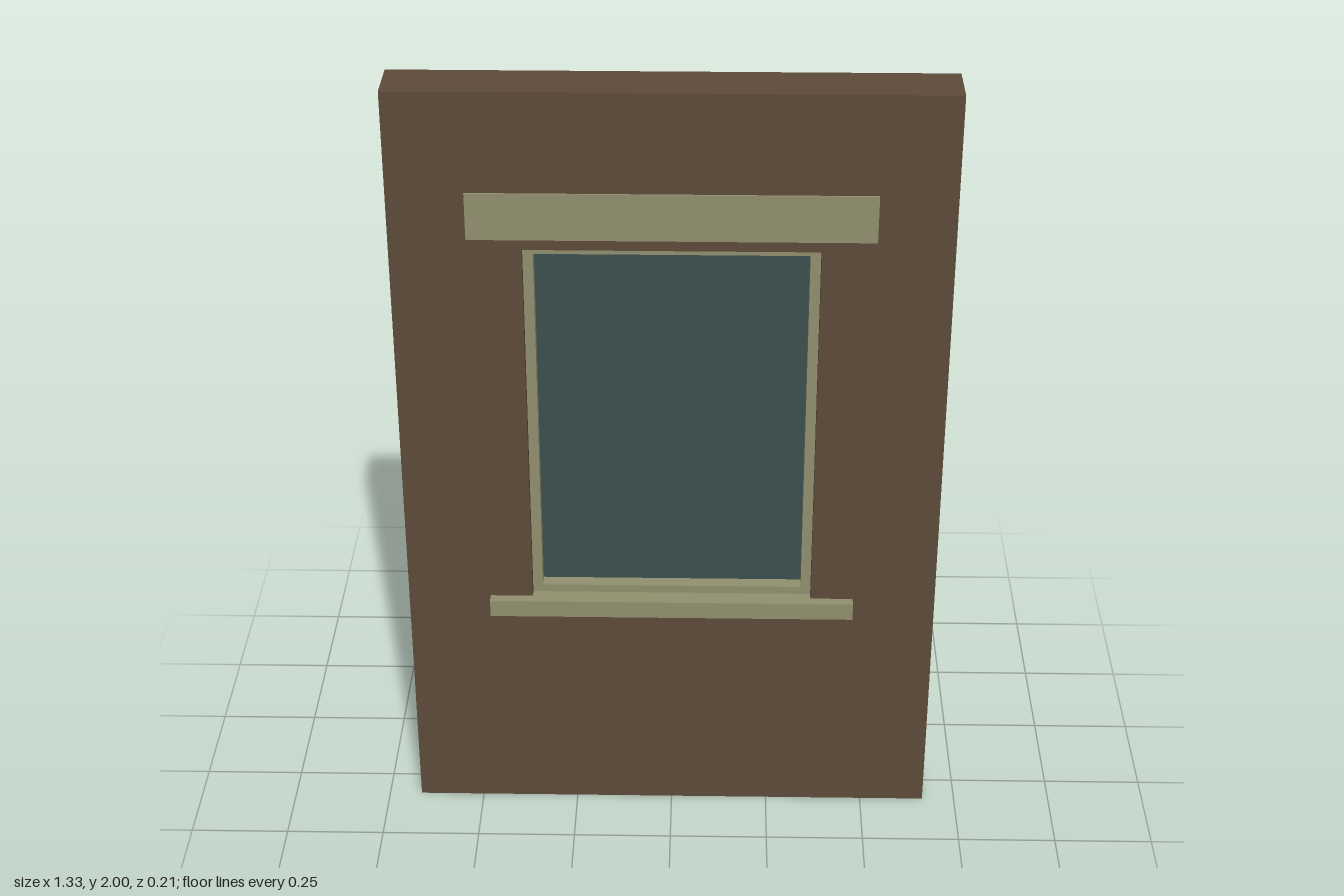
import * as THREE from 'three';

const material = (name, color) => {
  const m = new THREE.MeshStandardMaterial({ color });
  m.name = name;
  return m;
};

export function createModel() {
  const group = new THREE.Group();
  const wallBrown = material('wall brown', 0x5e4b3a);
  const trimOlive = material('trim olive', 0x91906e);
  const glassTeal = material('glass teal', 0x3c5051);

  const add = (name, geometry, mat) => {
    const mesh = new THREE.Mesh(geometry, mat);
    mesh.name = name;
    group.add(mesh);
  };

  // Box given by its lower and upper limits
  const box = (name, mat, [x0, x1], [y0, y1], [z0, z1]) => {
    const g = new THREE.BoxGeometry(x1 - x0, y1 - y0, z1 - z0);
    g.translate((x0 + x1) / 2, (y0 + y1) / 2, (z0 + z1) / 2);
    add(name, g, mat);
  };

  // Rectangular ring: half widths and height limits, extruded from z0 to z1
  const rect = (path, w, y0, y1) =>
    path.moveTo(-w, y0).lineTo(w, y0).lineTo(w, y1).lineTo(-w, y1).closePath();
  const ring = (name, mat, outer, inner, [z0, z1]) => {
    const shape = rect(new THREE.Shape(), ...outer);
    shape.holes.push(rect(new THREE.Path(), ...inner));
    const g = new THREE.ExtrudeGeometry(shape, { depth: z1 - z0, bevelEnabled: false });
    g.translate(0, 0, z0);
    add(name, g, mat);
  };

  // Wall with the window opening
  ring('wall', wallBrown, [0.666, 0, 2], [0.352, 0.63, 1.605], [-0.052, 0.081]);

  // Lintel and sill, passing through the wall above and below the opening
  box('lintel', trimOlive, [-0.482, 0.482], [1.632, 1.75], [-0.058, 0.086]);
  box('sill', trimOlive, [-0.459, 0.459], [0.588, 0.634], [-0.079, 0.107]);

  // Deep casing on the back, lining the opening up to the sash
  ring('casing', trimOlive, [0.405, 0.58, 1.66], [0.349, 0.636, 1.602], [-0.107, -0.052]);
  ring('casingLining', trimOlive, [0.352, 0.63, 1.605], [0.349, 0.636, 1.602], [-0.052, -0.025]);

  // Sash and glass
  ring('sash', trimOlive, [0.352, 0.63, 1.605], [0.327, 0.655, 1.585], [-0.025, 0.06]);
  box('glass', glassTeal, [-0.328, 0.328], [0.654, 1.586], [-0.003, 0.025]);

  // Glazing bars on the back of the glass
  for (const x of [-0.115, 0.115])
    box('verticalBar', trimOlive, [x - 0.0125, x + 0.0125], [0.655, 1.585], [-0.024, -0.002]);
  box('horizontalBar', trimOlive, [-0.327, 0.327], [1.272, 1.298], [-0.025, -0.002]);

  return group;
}
